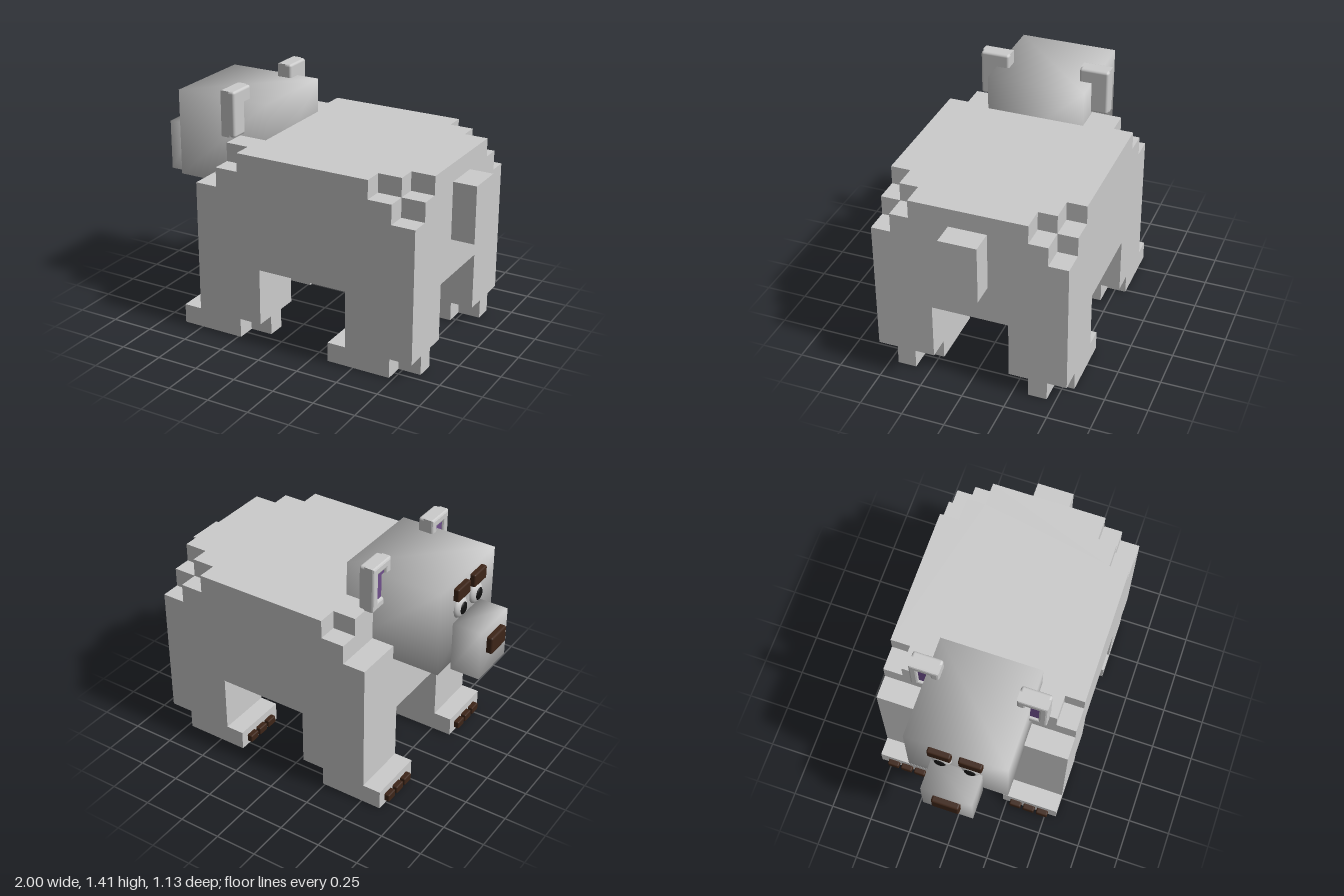
import * as THREE from 'three';
import { mergeVertices } from 'three/addons/utils/BufferGeometryUtils.js';
import { RoundedBoxGeometry } from 'three/addons/geometries/RoundedBoxGeometry.js';

const grey = new THREE.MeshStandardMaterial({ color: 0xcccccc });
const brown = new THREE.MeshStandardMaterial({ color: 0x3d2518 });
const purple = new THREE.MeshStandardMaterial({ color: 0x6f4f8c });
const white = new THREE.MeshStandardMaterial({ color: 0xe8e8e8 });
const black = new THREE.MeshStandardMaterial({ color: 0x111111 });

function add(parent, name, geometry, material = grey) {
  const mesh = new THREE.Mesh(geometry, material);
  mesh.name = name;
  parent.add(mesh);
  return mesh;
}

// Box from its low and high corners
function box(lo, hi) {
  const size = hi.map((v, i) => v - lo[i]);
  return new THREE.BoxGeometry(...size)
    .translate(...lo.map((v, i) => v + size[i] / 2));
}

// Box with corner normals shared, for a soft shaded look
function softBox(lo, hi) {
  const g = box(lo, hi);
  g.deleteAttribute('normal');
  g.deleteAttribute('uv');
  const merged = mergeVertices(g);
  merged.computeVertexNormals();
  return merged;
}

function roundBox(lo, hi, radius) {
  const size = hi.map((v, i) => v - lo[i]);
  return new RoundedBoxGeometry(...size, 2, radius)
    .translate(...lo.map((v, i) => v + size[i] / 2));
}

// Horizontal slab from half of a plan outline [x, z], mirrored across z = 0
function slab(half, y0, y1) {
  const outline = [...half, ...half.map(([x, z]) => [x, -z]).reverse()];
  const shape = new THREE.Shape(outline.map(([x, z]) => new THREE.Vector2(x, z)));
  return new THREE.ExtrudeGeometry(shape, { depth: y1 - y0, bevelEnabled: false })
    .rotateX(-Math.PI / 2).translate(0, y0, 0);
}

function buildBody() {
  const body = new THREE.Group();
  body.name = 'body';
  const W = 0.565;
  add(body, 'torso', box([-0.51, 0.455, -W], [0.86, 0.905, W]));
  // Stepped layers that knock blocks off the upper corners
  add(body, 'shoulderLayer', slab(
    [[-0.375, W], [0.72, W], [0.72, 0.45], [0.86, 0.45]], 0.905, 1.02));
  add(body, 'backLayer', slab(
    [[-0.375, 0.45], [-0.235, 0.45], [-0.235, W], [0.58, W], [0.58, 0.45],
      [0.72, 0.45], [0.72, 0.34], [0.86, 0.34]], 1.02, 1.13));
  add(body, 'neck', box([-0.70, 0.80, -0.2], [-0.375, 1.02, 0.2]));
  add(body, 'tail', box([0.86, 0.68, -0.11], [1, 1.02, 0.11]));
  return body;
}

// Leg with its heel at x = 0 and its own middle on z = 0
function buildLeg(name) {
  const leg = new THREE.Group();
  leg.name = name;
  const w = 0.17;
  add(leg, 'shin', box([-0.41, 0.115, -w], [0, 0.455, w]));
  add(leg, 'foot', slab([[-0.52, w], [-0.135, w], [-0.135, 0.055], [0, 0.055]], 0, 0.115));
  for (const z of [-0.085, 0, 0.085]) {
    add(leg, 'claw', roundBox([-0.552, 0.022, z - 0.035], [-0.51, 0.07, z + 0.035], 0.008), brown);
  }
  return leg;
}

// Ear opening towards -x: rounded back, raised rim and coloured inside
function buildEar(name) {
  const ear = new THREE.Group();
  ear.name = name;
  add(ear, 'earBack', roundBox([-0.03, -0.135, -0.087], [0.0475, 0.135, 0.087], 0.015));
  const rect = (path, a, b) => {
    path.moveTo(-a, -b);
    path.lineTo(a, -b);
    path.lineTo(a, b);
    path.lineTo(-a, b);
    path.closePath();
    return path;
  };
  const rim = rect(new THREE.Shape(), 0.075, 0.123);
  rim.holes.push(rect(new THREE.Path(), 0.05, 0.095));
  add(ear, 'earRim', new THREE.ExtrudeGeometry(rim, {
    depth: 0.045, bevelSize: 0.012, bevelThickness: 0.012, bevelSegments: 2,
  }).rotateY(-Math.PI / 2).translate(0.0095, 0, 0));
  add(ear, 'innerEar', box([-0.033, -0.1, -0.055], [-0.02, 0.1, 0.055]), purple);
  return ear;
}

function buildHead() {
  const head = new THREE.Group();
  head.name = 'head';
  head.position.z = 0.018;
  add(head, 'skull', softBox([-0.79, 0.82, -0.292], [-0.205, 1.335, 0.292]));
  add(head, 'snout', softBox([-0.965, 0.775, -0.147], [-0.79, 1.075, 0.147]));
  add(head, 'nose', roundBox([-1, 0.91, -0.08], [-0.95, 1.015, 0.08], 0.012), brown);
  for (const s of [-1, 1]) {
    const side = s > 0 ? 'left' : 'right';
    const eye = add(head, side + 'Eye', new THREE.SphereGeometry(1, 24, 16), white);
    eye.scale.set(0.033, 0.065, 0.06);
    eye.position.set(-0.79, 1.152, s * 0.085);
    const pupil = add(head, side + 'Pupil', new THREE.SphereGeometry(1, 20, 12), black);
    pupil.scale.set(0.014, 0.038, 0.034);
    pupil.position.set(-0.815, 1.152, s * 0.085);
    add(head, side + 'Brow',
      roundBox([-0.822, 1.22, s * 0.088 - 0.066], [-0.78, 1.3, s * 0.088 + 0.066], 0.01), brown);
    const ear = buildEar(side + 'Ear');
    ear.position.set(-0.3925, 1.28, s * 0.304);
    head.add(ear);
  }
  return head;
}

export function createModel() {
  const model = new THREE.Group();
  model.name = 'blockBear';
  model.add(buildBody(), buildHead());
  for (const [end, x] of [['front', -0.1], ['hind', 0.86]]) {
    for (const [side, z] of [['Left', 0.395], ['Right', -0.395]]) {
      const leg = buildLeg(end + side + 'Leg');
      leg.position.set(x, 0, z);
      model.add(leg);
    }
  }
  return model;
}
